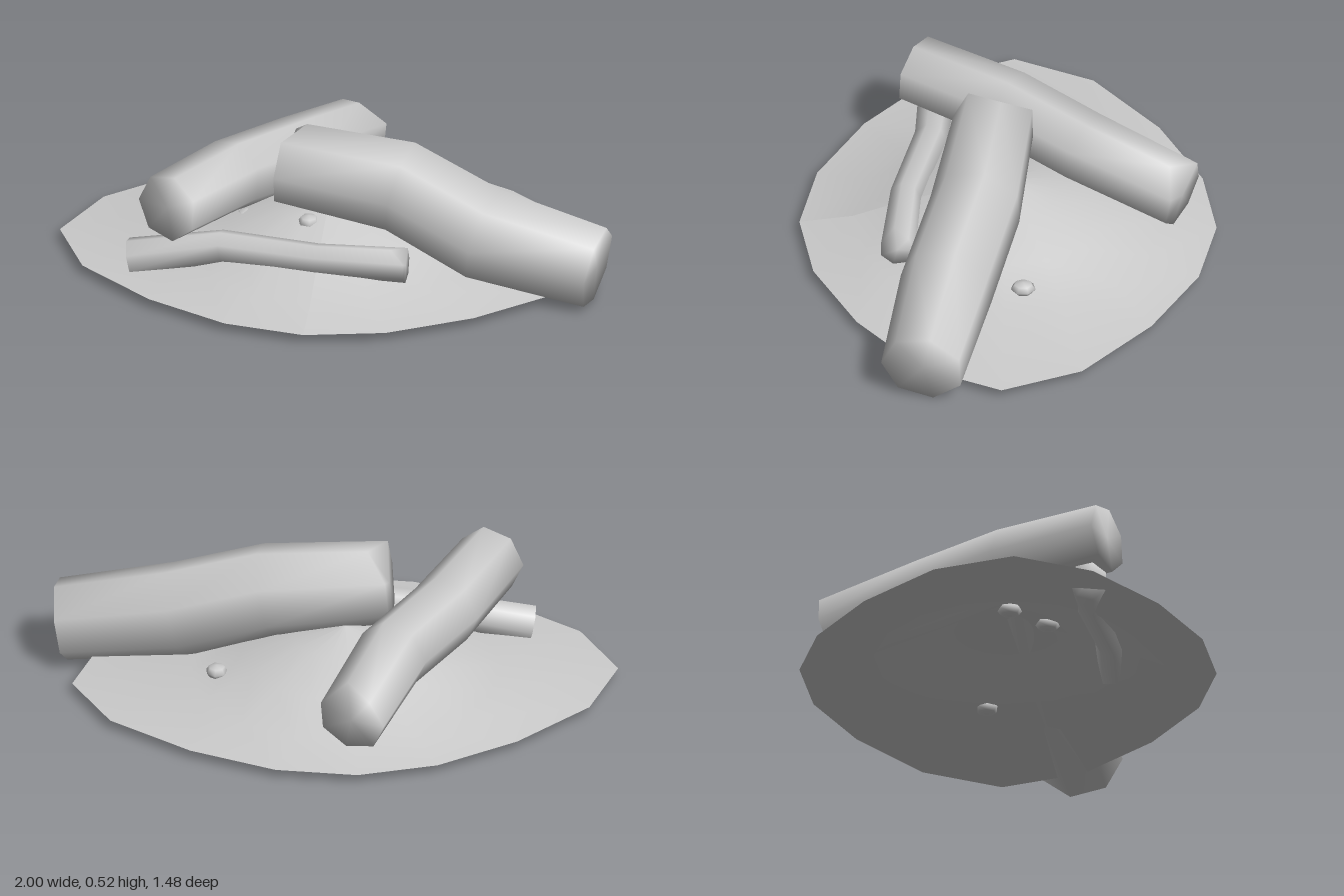
import * as THREE from 'three';

const material = new THREE.MeshStandardMaterial({ color: 0xcccccc, side: THREE.DoubleSide });
const SIDES = 7;

function addMesh(group, name, geometry) {
  const mesh = new THREE.Mesh(geometry, material);
  mesh.name = name;
  group.add(mesh);
  return mesh;
}

// Bent log: one ring per [x, y, z, radius], closed ends, a notch split into the top of the far end
function logGeometry(rings, notch) {
  const centres = rings.map(([x, y, z]) => new THREE.Vector3(x, y, z));
  const last = rings.length - 1;
  const up = new THREE.Vector3(0, 1, 0);
  const positions = [];
  const index = [];

  centres.forEach((c, i) => {
    const t = centres[Math.min(i + 1, last)].clone().sub(centres[Math.max(i - 1, 0)]).normalize();
    const u = up.clone().cross(t).normalize();
    const v = t.clone().cross(u);
    for (let j = 0; j < SIDES; j++) {
      const a = (j / SIDES) * Math.PI * 2;
      const p = c.clone()
        .addScaledVector(u, Math.cos(a) * rings[i][3])
        .addScaledVector(v, Math.sin(a) * rings[i][3]);
      if (i === last && j === 2) p.addScaledVector(t, -notch);
      positions.push(...p.toArray());
    }
  });
  const start = positions.length / 3;
  positions.push(...centres[0].toArray(), ...centres[last].toArray());

  for (let j = 0; j < SIDES; j++) {
    const k = (j + 1) % SIDES;
    for (let i = 0; i < last; i++) {
      const a = i * SIDES + j, b = i * SIDES + k;
      index.push(a, b, a + SIDES, b, b + SIDES, a + SIDES);
    }
    index.push(start, k, j, start + 1, last * SIDES + j, last * SIDES + k);
  }
  const geometry = new THREE.BufferGeometry();
  geometry.setAttribute('position', new THREE.Float32BufferAttribute(positions, 3));
  geometry.setIndex(index);
  geometry.computeVertexNormals();
  return geometry;
}

// Round ash mound, hollow underneath, its rim drawn out sideways to a pointed oval
function moundGeometry() {
  const rim = 0.74;
  const profile = [[rim, 0.04], [0.55, 0.07], [0.37, 0.14], [0.18, 0.2], [0, 0.245]]
    .map(([r, y]) => new THREE.Vector2(r, y));
  const geometry = new THREE.LatheGeometry(profile, 16);
  const p = geometry.attributes.position;
  for (let i = 0; i < p.count; i++) {
    if (p.getY(i) > 0.05) continue;
    const side = p.getX(i) / rim;
    p.setX(i, p.getX(i) + 0.23 * Math.sign(side) * Math.abs(side) ** 4);
  }
  geometry.computeVertexNormals();
  return geometry;
}

export function createModel() {
  const model = new THREE.Group();
  model.name = 'campfire';

  addMesh(model, 'ashMound', moundGeometry()).position.x = -0.03;

  // Thick log resting on the heap
  addMesh(model, 'largeLog', logGeometry([
    [0.96, 0.15, 0.28, 0.15],
    [0.55, 0.22, 0.2, 0.172],
    [0.24, 0.34, 0.105, 0.168],
    [-0.19, 0.385, 0.05, 0.15],
  ], 0.06));

  // Log lying front to back
  addMesh(model, 'mediumLog', logGeometry([
    [-0.57, 0.315, 0.34, 0.125],
    [-0.385, 0.295, 0, 0.132],
    [-0.185, 0.27, -0.27, 0.132],
    [-0.015, 0.195, -0.62, 0.125],
  ], 0.06));

  // Thin branch half sunk in the ash
  addMesh(model, 'branch', logGeometry([
    [-0.71, 0.08, 0.27, 0.07],
    [-0.38, 0.15, 0.285, 0.06],
    [-0.03, 0.16, 0.365, 0.057],
    [0.29, 0.165, 0.385, 0.064],
  ], 0.05));

  // Flat embers
  [[0.43, 0.11, -0.065], [-0.09, 0.197, 0.14], [-0.33, 0.14, 0]].forEach(([x, y, z]) => {
    const ember = addMesh(model, 'ember', new THREE.SphereGeometry(1, 7, 4));
    ember.position.set(x, y, z);
    ember.scale.set(0.04, 0.024, 0.045);
  });

  return model;
}
